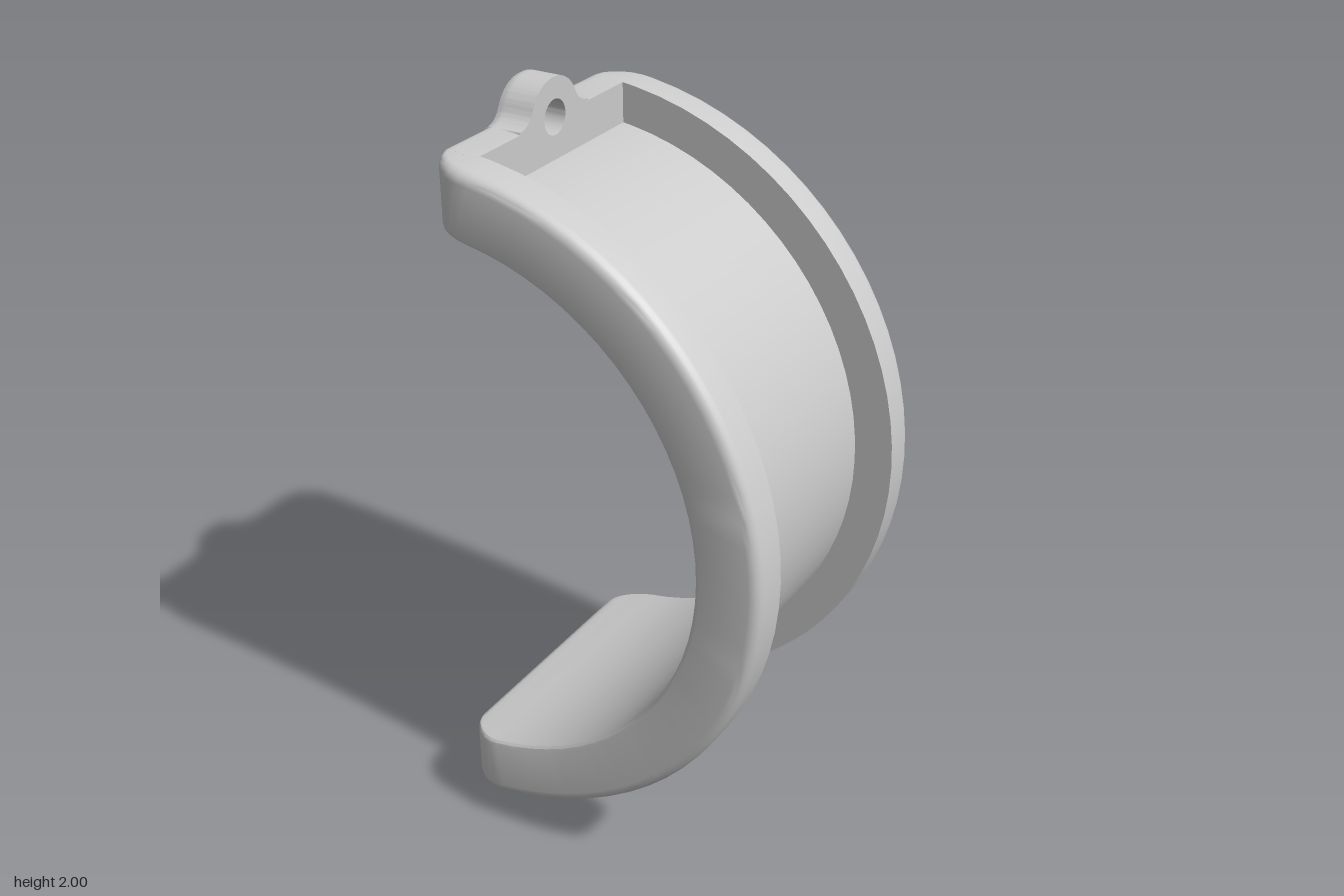
import * as THREE from 'three';
import { toCreasedNormals } from 'three/addons/utils/BufferGeometryUtils.js';

const END_X = -0.45;                 // plane of the two ends, also the ring axis
const INNER = 0.73, FLOOR = 0.80, OUTER = 0.905;
const GROOVE = 0.305;                // half width of the outer groove
const EDGE = 0.03, INNER_EDGE = 0.015, CORNER = 0.12, END_EDGE = 0.022;

// half width of the clamp at distance d from the end plane (rounded corners)
function halfWidth(d) {
  const k = Math.max(0, CORNER - d);
  return 0.41 - CORNER + Math.sqrt(Math.max(0, CORNER * CORNER - k * k));
}

// inset that rounds the edges of the end faces
function endInset(d) {
  const k = Math.min(END_EDGE, Math.max(0, END_EDGE - d));
  return END_EDGE - Math.sqrt(END_EDGE * END_EDGE - k * k);
}

// channel cross-section at angle phi, as (radius, z) points
function section(phi) {
  const half = [];
  const add = (r, zOf) => {
    const d = Math.max(0, r * Math.sin(phi));
    const inset = endInset(d);
    const radius = r === FLOOR ? r : r > FLOOR ? r - inset : r + inset;
    half.push(new THREE.Vector2(radius, zOf(halfWidth(d))));
  };
  const grooveZ = w => Math.min(GROOVE, w - EDGE);
  add(FLOOR, grooveZ);
  add(OUTER, grooveZ);
  for (let i = 0; i <= 5; i++) {
    const a = i / 5 * Math.PI / 2;
    add(OUTER - EDGE * (1 - Math.cos(a)), w => w - EDGE * (1 - Math.sin(a)));
  }
  for (let i = 0; i <= 3; i++) {
    const a = i / 3 * Math.PI / 2;
    add(INNER + INNER_EDGE * (1 - Math.sin(a)), w => w - INNER_EDGE * (1 - Math.cos(a)));
  }
  const mirrored = half.map(p => new THREE.Vector2(p.x, -p.y)).reverse();
  return half.concat(mirrored);
}

// half ring with an outward-facing groove, swept from the top end to the bottom end
function channelGeometry() {
  const near = [0, 0.002, 0.006, 0.012, 0.022, 0.035, 0.055, 0.08, 0.11, 0.14]
    .map(d => Math.asin(d / OUTER));
  const start = near[near.length - 1], angles = [...near];
  for (let i = 1; i < 36; i++) angles.push(start + (Math.PI - 2 * start) * i / 36);
  angles.push(...near.map(a => Math.PI - a).reverse());

  const positions = [], index = [];
  const rings = angles.map(section), n = rings[0].length;
  rings.forEach((ring, i) => ring.forEach(p => positions.push(
    END_X + p.x * Math.sin(angles[i]), 1 + p.x * Math.cos(angles[i]), p.y)));
  for (let i = 0; i < rings.length - 1; i++) {
    for (let j = 0; j < n; j++) {
      const a = i * n + j, b = i * n + (j + 1) % n;
      index.push(a, b, a + n, b, b + n, a + n);
    }
  }
  // end caps
  const last = (rings.length - 1) * n;
  for (const [a, b, c] of THREE.ShapeUtils.triangulateShape(rings[0], [])) {
    index.push(a, c, b, last + a, last + b, last + c);
  }
  const geometry = new THREE.BufferGeometry();
  geometry.setAttribute('position', new THREE.Float32BufferAttribute(positions, 3));
  geometry.setIndex(index);
  return toCreasedNormals(geometry, 0.5);
}

// wall closing the groove at one end, with a drilled ear
function endWallGeometry() {
  const hw = 0.32, earY = 0.90, earR = 0.10, blend = 0.06;
  const by = OUTER + blend;
  const bx = Math.sqrt((earR + blend) ** 2 - (by - earY) ** 2);
  const t = Math.atan2(by - earY, bx);
  const shape = new THREE.Shape();
  shape.moveTo(-hw, 0.76);
  shape.lineTo(hw, 0.76);
  shape.lineTo(hw, OUTER);
  shape.lineTo(bx, OUTER);
  shape.absarc(bx, by, blend, -Math.PI / 2, Math.PI + t, true);
  shape.absarc(0, earY, earR, t, Math.PI - t, false);
  shape.absarc(-bx, by, blend, -t, -Math.PI / 2, true);
  shape.lineTo(-hw, OUTER);
  shape.closePath();
  const hole = new THREE.Path();
  hole.absarc(0, earY, 0.045, 0, Math.PI * 2, true);
  shape.holes.push(hole);

  const geometry = new THREE.ExtrudeGeometry(shape, {
    depth: 0.1, steps: 10, bevelEnabled: false, curveSegments: 20,
  });
  geometry.rotateY(Math.PI / 2);
  // follow the rounded corners and the rounded end edge, leaving the hole true
  const p = geometry.attributes.position;
  for (let i = 0; i < p.count; i++) {
    const d = p.getX(i), y = p.getY(i), z = p.getZ(i);
    const limit = halfWidth(d) - 0.02;
    p.setZ(i, THREE.MathUtils.clamp(z, -limit, limit));
    if (y > 0.8 && Math.hypot(y - earY, z) > 0.06) {
      const onWall = Math.abs(z) > bx - 0.001;
      const curve = onWall ? OUTER - Math.sqrt(OUTER * OUTER - d * d) : 0;
      p.setY(i, y - curve - (onWall ? endInset(d) : endInset(d) * 0.3));
    }
  }
  return toCreasedNormals(geometry, 0.5);
}

export function createModel() {
  const model = new THREE.Group();
  model.name = 'halfClamp';
  const material = new THREE.MeshStandardMaterial({ color: 0xcccccc });

  const channel = new THREE.Mesh(channelGeometry(), material);
  channel.name = 'groovedHalfRing';
  model.add(channel);

  // upper and lower end walls
  const wall = endWallGeometry();
  ['upperEndWall', 'lowerEndWall'].forEach((name, i) => {
    const mesh = new THREE.Mesh(wall, material);
    mesh.name = name;
    mesh.position.set(END_X, 1, 0);
    mesh.rotation.x = i * Math.PI;
    model.add(mesh);
  });
  return model;
}
